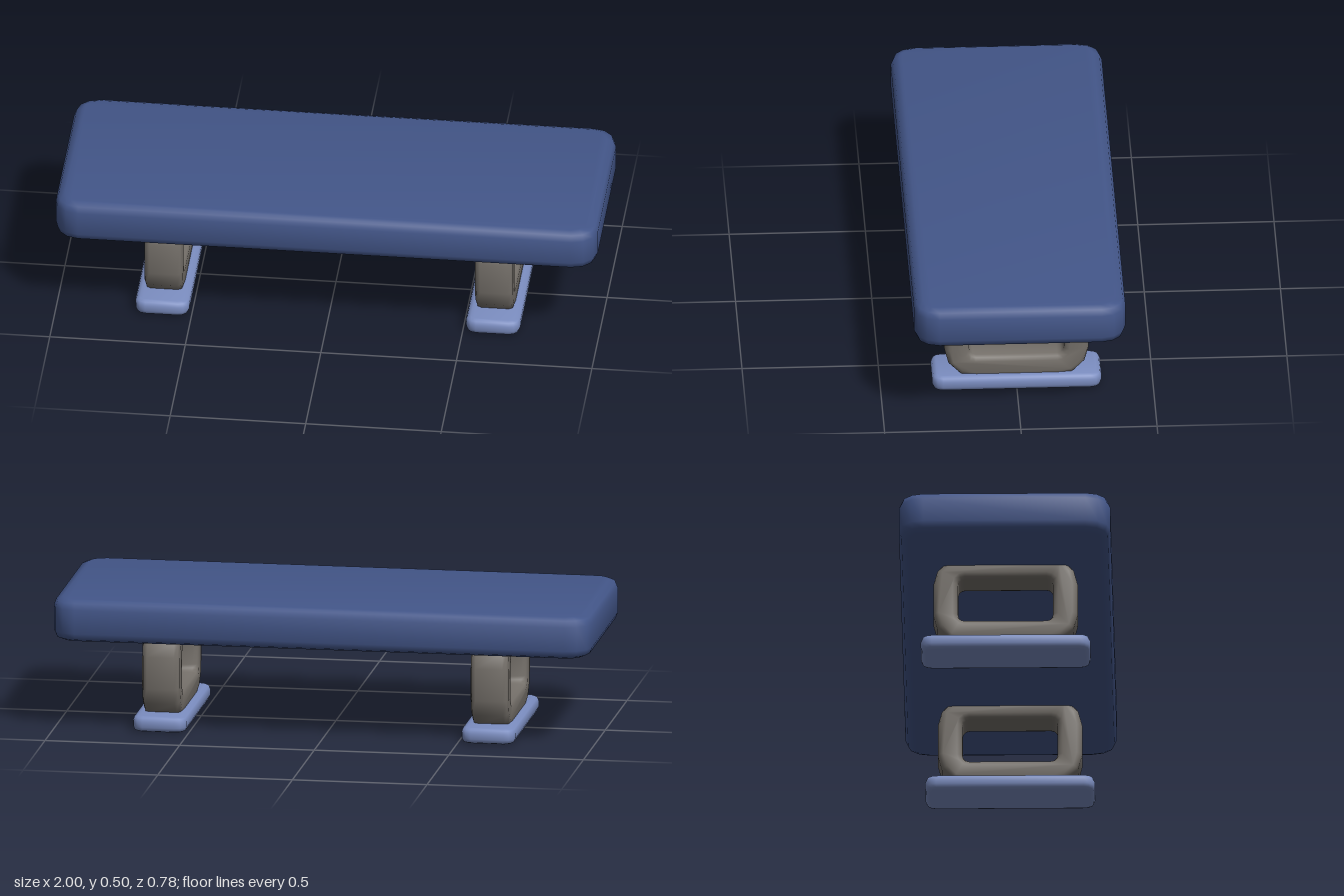
import * as THREE from 'three';
import { toCreasedNormals } from 'three/addons/utils/BufferGeometryUtils.js';

const flat = (name, color) => {
  const m = new THREE.MeshStandardMaterial({ color });
  m.name = name;
  return m;
};

// Corner points of a rounded rectangle centred on the origin
function roundedRect(width, height, radius, steps = 3) {
  const points = [];
  const corners = [[1, 1], [-1, 1], [-1, -1], [1, -1]];
  corners.forEach(([sx, sy], quarter) => {
    for (let i = 0; i <= steps; i++) {
      const a = (quarter + i / steps) * Math.PI / 2;
      points.push(new THREE.Vector2(
        sx * (width / 2 - radius) + radius * Math.cos(a),
        sy * (height / 2 - radius) + radius * Math.sin(a)));
    }
  });
  return points;
}

// Extrusion whose softened edges stay inside the given outline and thickness
function softExtrude(shape, thickness, bevel) {
  const geometry = new THREE.ExtrudeGeometry(shape, {
    depth: thickness - 2 * bevel,
    bevelThickness: bevel,
    bevelSize: bevel,
    bevelOffset: -bevel,
    bevelSegments: 2,
  });
  geometry.translate(0, 0, bevel - thickness / 2);
  return toCreasedNormals(geometry, 0.9);
}

export function createModel() {
  const model = new THREE.Group();
  model.name = 'bench';

  const topBlue = flat('dark blue', 0x435689);
  const legGrey = flat('warm grey', 0x75706a);
  const footBlue = flat('light blue', 0x7b8dc0);

  const add = (name, geometry, material, x, y) => {
    const mesh = new THREE.Mesh(geometry, material);
    mesh.name = name;
    mesh.position.set(x, y, 0);
    model.add(mesh);
  };

  // Thick seat slab
  const seat = softExtrude(new THREE.Shape(roundedRect(2, 0.776, 0.09)), 0.155, 0.033);
  seat.rotateX(-Math.PI / 2);
  add('seat', seat, topBlue, 0, 0.4225);

  // Ring-shaped leg, sunk slightly into seat and foot
  const ring = new THREE.Shape(roundedRect(0.53, 0.35, 0.115));
  ring.holes.push(new THREE.Path(roundedRect(0.348, 0.17, 0.025)));
  const leg = softExtrude(ring, 0.14, 0.02);
  leg.rotateY(-Math.PI / 2);

  // Flat foot plate
  const foot = softExtrude(new THREE.Shape(roundedRect(0.2, 0.622, 0.04)), 0.057, 0.018);
  foot.rotateX(-Math.PI / 2);

  for (const [side, x] of [['left', 0.61], ['right', -0.61]]) {
    add(side + 'Leg', leg, legGrey, x, 0.2125);
    add(side + 'Foot', foot, footBlue, x, 0.0285);
  }
  return model;
}
